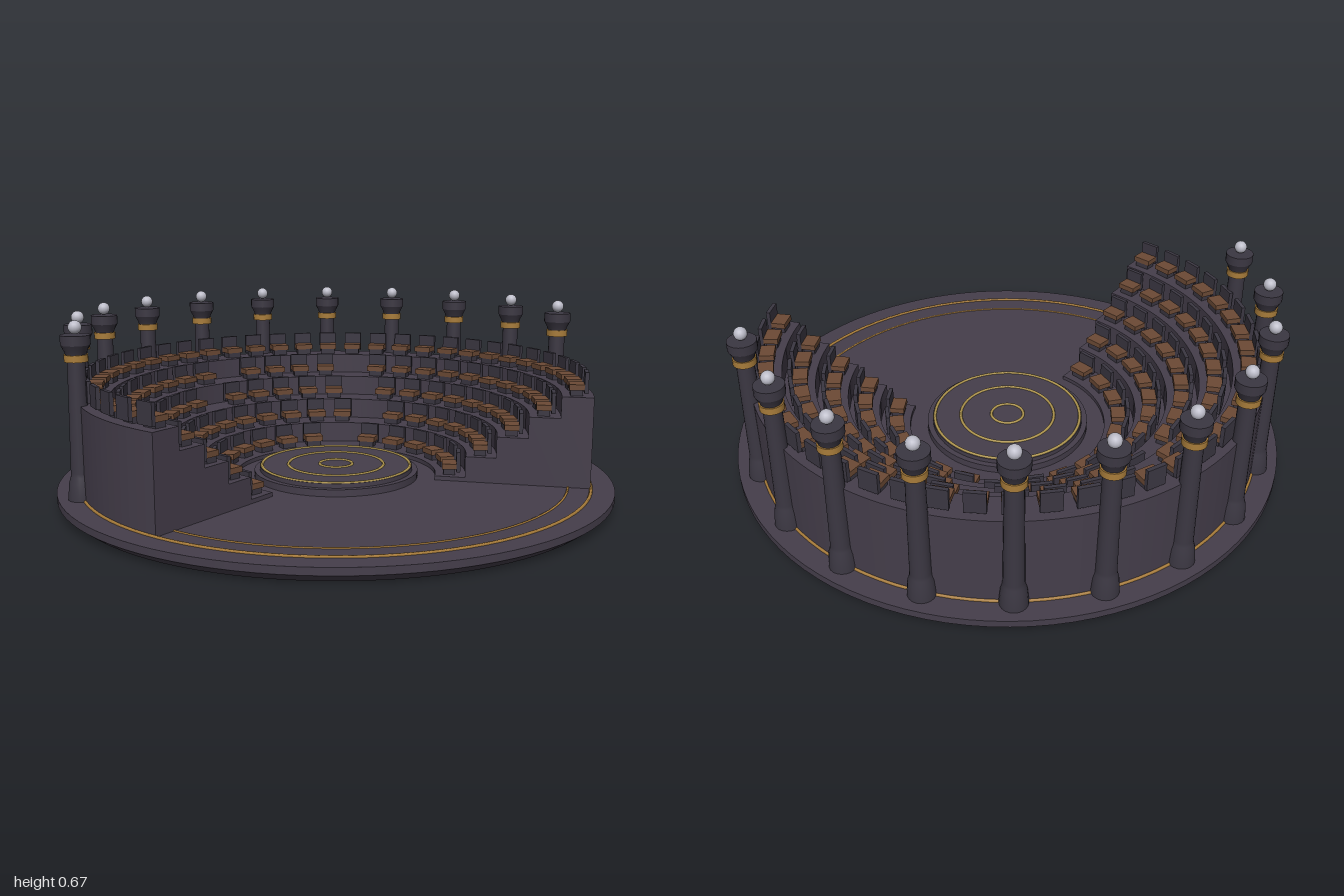
import * as THREE from 'three';

const mat = (name, color, side = THREE.FrontSide) => {
  const m = new THREE.MeshStandardMaterial({ color, side });
  m.name = name;
  return m;
};

export function createModel() {
  const stone = mat('dark stone', 0x453e4b);
  const slate = mat('slate', 0x3b3742);
  const brown = mat('brown leather', 0x6c4a35);
  const gold = mat('gold', 0xa87c3a);
  const paleGold = mat('pale gold', 0xb0964f);
  const pearl = mat('pearl', 0xbcbcc8);

  const model = new THREE.Group();
  model.name = 'amphitheatre';
  const add = (parent, name, geometry, material, x = 0, y = 0, z = 0) => {
    const mesh = new THREE.Mesh(geometry, material);
    mesh.name = name;
    mesh.position.set(x, y, z);
    parent.add(mesh);
    return mesh;
  };
  const ring = (name, radius, y, material, tube = 0.006) => {
    const g = new THREE.TorusGeometry(radius, tube, 6, 96).rotateX(Math.PI / 2);
    add(model, name, g, material, 0, y, 0);
  };

  // Round floor with a bevelled underside
  add(model, 'floorBevel', new THREE.CylinderGeometry(1, 0.96, 0.03, 96), stone, 0, 0.015, 0);
  add(model, 'floor', new THREE.CylinderGeometry(1, 1, 0.025, 96), stone, 0, 0.0425, 0);
  ring('outerFloorRing', 0.918, 0.056, gold);
  ring('innerFloorRing', 0.838, 0.055, gold, 0.004);

  // Round stage with inlaid rings
  add(model, 'stageStep', new THREE.CylinderGeometry(0.3, 0.3, 0.025, 64), stone, 0, 0.0675, 0);
  add(model, 'stage', new THREE.CylinderGeometry(0.28, 0.28, 0.04, 64), stone, 0, 0.076, 0);
  for (const r of [0.272, 0.175, 0.06]) ring('stageRing', r, 0.096, paleGold, 0.0055);

  // Seating tiers: nested sectors, open towards the front
  const end = THREE.MathUtils.degToRad(33);
  const span = Math.PI + 2 * end;
  const outer = 0.916;
  const tierRadius = (i) => 0.365 + 0.11 * i;
  const tierTop = (i) => 0.07 + 0.0775 * i;
  for (let i = 0; i < 5; i++) {
    const shape = new THREE.Shape();
    const r1 = i === 4 ? outer : tierRadius(i + 1);
    shape.absarc(0, 0, r1, -end, Math.PI + end, false);
    shape.absarc(0, 0, tierRadius(i), Math.PI + end, -end, true);
    const g = new THREE.ExtrudeGeometry(shape, {
      depth: tierTop(i) - 0.05, bevelEnabled: false, curveSegments: 48,
    });
    g.rotateX(-Math.PI / 2);
    add(model, 'tier', g, stone, 0, 0.05, 0);
  }

  // Seats, facing the stage, with a few places left free
  const cushion = new THREE.BoxGeometry(0.07, 0.02, 0.052);
  const support = new THREE.BoxGeometry(0.056, 0.022, 0.042);
  const back = new THREE.BoxGeometry(0.07, 0.075, 0.014);
  const counts = [16, 21, 25, 29, 34];
  const freePlaces = [[9], [13], [9, 15], [12, 17], []];
  counts.forEach((count, row) => {
    for (let k = 0; k < count; k++) {
      if (freePlaces[row].includes(k)) continue;
      const a = ((k + 0.5) / count - 0.5) * span;
      const r = tierRadius(row) + 0.05;
      const seat = new THREE.Group();
      seat.name = 'seat';
      seat.position.set(r * Math.sin(a), tierTop(row), -r * Math.cos(a));
      seat.rotation.y = -a;
      add(seat, 'seatSupport', support, slate, 0, 0.01, 0);
      add(seat, 'seatCushion', cushion, brown, 0, 0.031, 0);
      add(seat, 'seatBack', back, slate, 0, 0.0475, -0.033);
      model.add(seat);
    }
  });

  // Columns around the back half
  const profile = (points) =>
    new THREE.LatheGeometry(points.map(([x, y]) => new THREE.Vector2(x, y)), 20);
  const shaft = profile([[0.047, 0.055], [0.046, 0.075], [0.042, 0.115], [0.036, 0.135],
    [0.035, 0.15], [0.03, 0.53]]);
  const capital = profile([[0.034, 0.548], [0.038, 0.562], [0.05, 0.585]]);
  const capitalRim = new THREE.CylinderGeometry(0.05, 0.05, 0.033, 20);
  const band = new THREE.CylinderGeometry(0.04, 0.04, 0.024, 20);
  const ball = new THREE.SphereGeometry(0.023, 16, 12);
  for (let i = 0; i <= 10; i++) {
    const a = (i * Math.PI) / 10;
    const column = new THREE.Group();
    column.name = 'column';
    column.position.set(0.92 * Math.cos(a), 0, -0.92 * Math.sin(a));
    add(column, 'columnShaft', shaft, slate);
    add(column, 'columnBand', band, gold, 0, 0.54, 0);
    add(column, 'columnCapital', capital, slate);
    add(column, 'columnRim', capitalRim, slate, 0, 0.6005, 0);
    add(column, 'columnBall', ball, pearl, 0, 0.642, 0);
    model.add(column);
  }
  return model;
}
